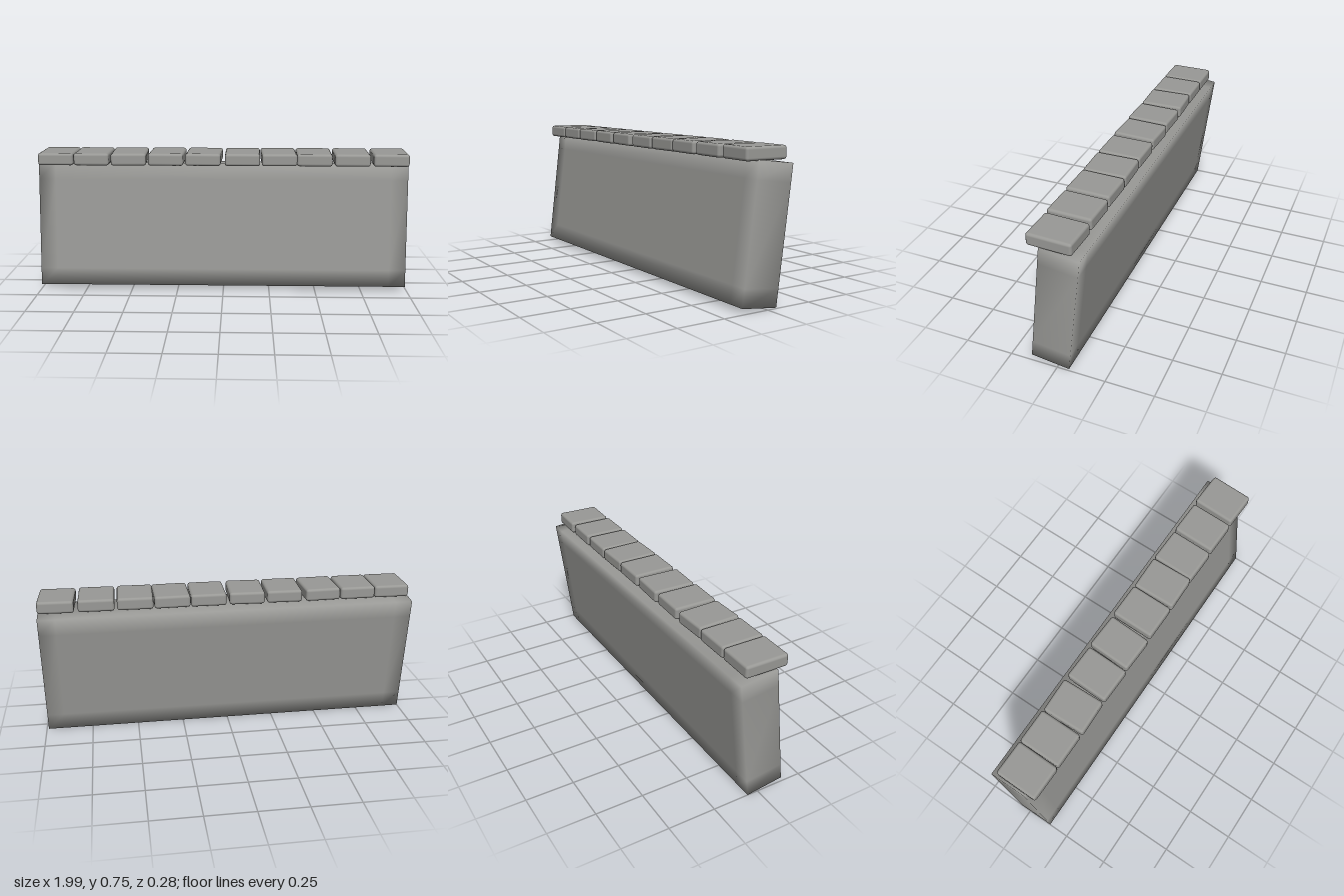
import * as THREE from 'three';
import { mergeVertices } from 'three/addons/utils/BufferGeometryUtils.js';
import { RoundedBoxGeometry } from 'three/addons/geometries/RoundedBoxGeometry.js';

const stone = new THREE.MeshStandardMaterial({ color: 0x999996 });
stone.name = 'grey stone';

// Box with a border loop on its broad faces and soft normals shared across the edges
function softSlab(width, height, depth, inset) {
  const box = new THREE.BoxGeometry(width, height, depth, 3, 3, 1);
  box.deleteAttribute('normal');
  box.deleteAttribute('uv');
  const slab = mergeVertices(box, 1e-4);
  const p = slab.attributes.position;
  const push = (v, size) =>
    Math.abs(v) > size * 0.4 ? v : Math.sign(v) * (size / 2 - inset);
  for (let i = 0; i < p.count; i++) {
    p.setX(i, push(p.getX(i), width));
    p.setY(i, push(p.getY(i), height));
  }
  slab.computeVertexNormals();
  return slab;
}

export function createModel() {
  const model = new THREE.Group();
  model.name = 'wall';

  // Wall body, leaning back
  const body = new THREE.Mesh(softSlab(1.99, 0.67, 0.2, 0.09), stone);
  body.name = 'wallBody';
  body.position.set(-0.005, 0.346, 0);
  body.rotation.x = -0.123;
  model.add(body);

  // Row of coping stones, each turned a little: centre x, yaw
  const stones = [
    [-0.895, -0.01], [-0.705, 0], [-0.51, 0.035], [-0.306, -0.025], [-0.106, -0.04],
    [0.102, -0.01], [0.296, 0.02], [0.486, -0.02], [0.687, -0.02], [0.893, -0.035],
  ];
  const cap = new RoundedBoxGeometry(0.188, 0.065, 0.23, 2, 0.014);
  const coping = new THREE.Group();
  coping.name = 'copingStones';
  stones.forEach(([x, yaw], i) => {
    const mesh = new THREE.Mesh(cap, stone);
    mesh.name = `copingStone${i + 1}`;
    mesh.position.set(x, 0.717, 0.008);
    mesh.rotation.y = yaw;
    coping.add(mesh);
  });
  model.add(coping);

  return model;
}
